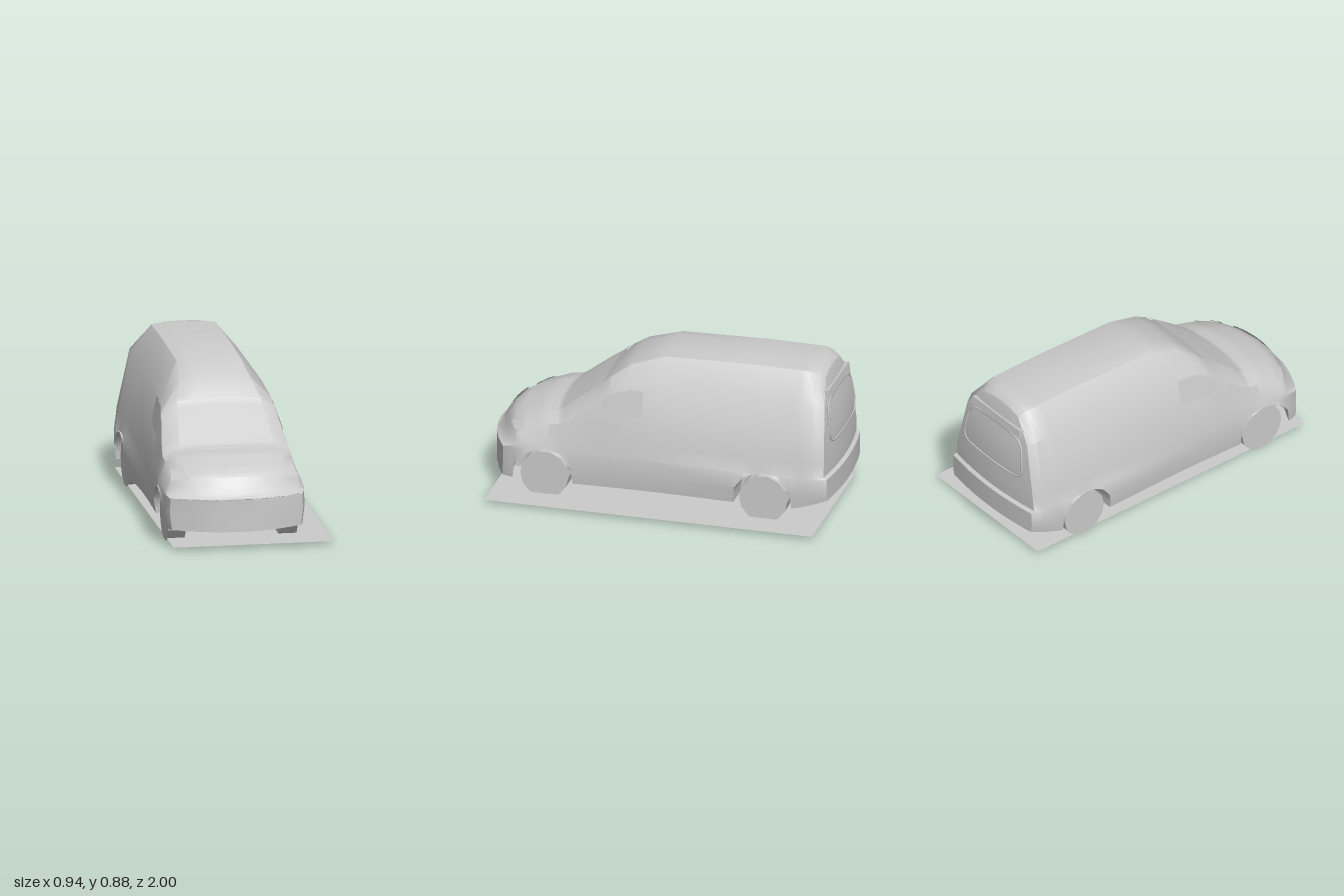
import * as THREE from 'three';
import { toCreasedNormals } from 'three/addons/utils/BufferGeometryUtils.js';
import { ParametricGeometry } from 'three/addons/geometries/ParametricGeometry.js';

const material = new THREE.MeshStandardMaterial({ color: 0xcccccc, side: THREE.DoubleSide });
const clamp = (v) => Math.min(1, Math.max(0, v));
const lerp = THREE.MathUtils.lerp;
const WHEELS = [0.65, -0.61], ARCH = 0.165, AXLE = 0.138;

// Body stations: z, sill width, belt width/height, shoulder width/height, roof edge width/height, top
const KEYS = [
  [1.00, 0.375, 0.37, 0.286, 0.33, 0.289, 0.25, 0.291, 0.293],
  [0.97, 0.39, 0.385, 0.297, 0.35, 0.305, 0.25, 0.314, 0.318],
  [0.92, 0.40, 0.388, 0.32, 0.36, 0.37, 0.27, 0.39, 0.40],
  [0.85, 0.405, 0.39, 0.33, 0.35, 0.40, 0.27, 0.43, 0.445],
  [0.72, 0.405, 0.39, 0.34, 0.355, 0.43, 0.30, 0.465, 0.485],
  [0.61, 0.40, 0.385, 0.35, 0.36, 0.45, 0.30, 0.48, 0.495],
  [0.50, 0.395, 0.38, 0.36, 0.35, 0.50, 0.27, 0.56, 0.572],
  [0.34, 0.39, 0.375, 0.38, 0.325, 0.61, 0.245, 0.67, 0.685],
  [0.30, 0.39, 0.375, 0.38, 0.32, 0.64, 0.23, 0.715, 0.725],
  [0.20, 0.387, 0.372, 0.38, 0.31, 0.68, 0.20, 0.785, 0.80],
  [0.00, 0.385, 0.37, 0.38, 0.30, 0.715, 0.18, 0.85, 0.867],
  [-0.50, 0.385, 0.37, 0.38, 0.30, 0.715, 0.18, 0.862, 0.877],
  [-0.82, 0.385, 0.37, 0.38, 0.30, 0.715, 0.18, 0.858, 0.872],
  [-0.92, 0.375, 0.36, 0.38, 0.29, 0.71, 0.17, 0.845, 0.862],
  [-0.98, 0.35, 0.335, 0.38, 0.265, 0.69, 0.15, 0.82, 0.84],
];

// Nose curvature in plan, and the leaning, bumpered tail
const bow = (s) => 0.13 * clamp((s - 0.4) / 0.5);
function place(x, y, s) {
  const tail = clamp((-s - 0.82) / 0.16), t = Math.max(0, (y - 0.45) / 0.4);
  const shift = 0.075 * t * t + 0.03 * (x / 0.35) ** 2 - (y < 0.29 ? 0.02 : 0);
  return [x, y, s - bow(s) * (x / 0.4) ** 2 + tail * shift];
}

// Half cross-section from floor centre, through the wheel well, up the side to the roof centre
function section(s) {
  let k = 0;
  while (k < KEYS.length - 2 && s < KEYS[k + 1][0]) k++;
  const a = KEYS[k], b = KEYS[k + 1], t = clamp((a[0] - s) / (a[0] - b[0]));
  const [, wSill, wBelt, yBelt, wSh, ySh, wRoof, yRoof, yTop] = a.map((v, i) => lerp(v, b[i], t));
  const floor = 0.107 + 0.05 * clamp((-s - 0.8) / 0.18);
  let edge = floor, flare = 0;
  for (const w of WHEELS) {
    const d = Math.abs(s - bow(s) - w);
    if (d < ARCH) edge = AXLE + Math.sqrt(ARCH * ARCH - d * d);
    if (w < 0) flare = 0.012 * clamp((0.22 - d) / 0.05);
  }
  const w = wSill + flare, up = (y) => Math.min(yBelt, Math.max(y, edge));
  return [[0, floor], [0.23, floor], [0.23, edge], [w - 0.012, edge], [w, up(0.2)],
    [w - 0.004, up(0.285)], [lerp(w, wBelt, 0.35), up(0.296)], [wBelt, yBelt], [wSh, ySh],
    [wRoof, yRoof], [wRoof * 0.55, lerp(yRoof, yTop, 0.8)], [0, yTop]];
}

// Look up the upper body surface: height at a given x, or half width at a given y
function lookup(s, value, from, to) {
  const p = section(s).slice(7);
  for (let i = 0; i < p.length - 1; i++) {
    const t = (value - p[i][from]) / (p[i + 1][from] - p[i][from]);
    if (t >= 0 && t <= 1) return lerp(p[i][to], p[i + 1][to], t);
  }
  return p[0][to];
}
const heightAt = (s, x) => lookup(s, Math.abs(x), 0, 1);
const widthAt = (s, y) => lookup(s, y, 1, 0);

function bodyGeometry() {
  const stations = KEYS.map((k) => k[0]);
  for (const w of WHEELS) {
    for (const f of [0.999, 0.96, 0.87, 0.7, 0.5, 0.25, 0, 1.01]) {
      for (const side of [-1, 1]) {
        const z = w + side * f * ARCH;
        stations.push(z < 0.4 ? z : z > 0.77 ? z + 0.13 : (z - 0.104) / 0.74);
      }
    }
  }
  stations.sort((a, b) => b - a);
  const caps = [0, 0.25, 0.5, 0.75];
  const rings = [...caps.map((m) => [1, m]), ...stations.map((s) => [s, 1]),
    ...caps.reverse().map((m) => [-0.98, m])];
  const pos = [], index = [];
  let n = 0;
  for (const [s, m] of rings) {
    const half = section(s);
    const ring = [...half, ...half.slice(1, -1).reverse().map(([x, y]) => [-x, y])];
    n = ring.length;
    for (const [x, y] of ring) pos.push(...place(x * m, y, s));
  }
  for (let r = 0; r < rings.length - 1; r++) {
    for (let i = 0; i < n; i++) {
      const a = r * n + i, b = r * n + (i + 1) % n, c = b + n, d = a + n;
      index.push(a, d, b, b, d, c);
    }
  }
  const g = new THREE.BufferGeometry();
  g.setAttribute('position', new THREE.Float32BufferAttribute(pos, 3));
  g.setIndex(index);
  return toCreasedNormals(g, 0.65);
}

export function createModel() {
  const root = new THREE.Group();
  const van = new THREE.Group();
  van.name = 'van';
  van.position.x = -0.07;
  root.add(van);
  const add = (name, geometry, parent = van) => {
    const mesh = new THREE.Mesh(geometry, material);
    mesh.name = name;
    parent.add(mesh);
    return mesh;
  };
  // Thin panel laid over the body by a rule of u and v
  const panel = (name, rule, nu = 12, nv = 8) =>
    add(name, new ParametricGeometry((u, v, out) => out.set(...rule(u, v)), nu, nv));

  add('body', bodyGeometry());

  // Windscreen
  panel('windscreen', (u, v) => {
    const s = 0.625 - 0.305 * v, x = (2 * u - 1) * (0.27 - 0.035 * v);
    const [px, py, pz] = place(x, heightAt(s, x) + 0.008, s);
    return [px, py, pz + 0.003];
  });

  // Grille and lower intake
  panel('grille', (u, v) => {
    const s = 0.952 - 0.034 * v, x = (2 * u - 1) * 0.195;
    const [px, py, pz] = place(x, heightAt(s, x) + 0.004, s);
    return [px, py, pz + 0.004];
  });
  panel('lowerIntake', (u, v) => {
    const [x, y, z] = place((2 * u - 1) * 0.19, 0.117 + 0.078 * v, 1);
    return [x, y, z + 0.002];
  });

  // Headlights and cab side windows
  for (const side of [-1, 1]) {
    const label = side > 0 ? 'left' : 'right';
    panel(label + 'Headlight', (u, v) => {
      const s = 0.93 - 0.10 * v - 0.02 * u, x = lerp(0.265, 0.35, u);
      const [px, py, pz] = place(x, heightAt(s, x) + 0.004, s);
      return [side * px, py, pz + 0.003];
    });
    panel(label + 'SideWindow', (u, v) => {
      const s = 0.42 - 0.32 * u;
      const y = lerp(0.49 + 0.05 * u, 0.55 + 0.13 * Math.min(1, u * 1.9), v);
      return [side * (widthAt(s, y) + 0.003), y, s - 0.004];
    });
  }

  // Rear window with rounded corners and a raised rim
  const rearPoint = (u, v) => {
    const corner = 0.04 * Math.abs(2 * v - 1) ** 5;
    const [x, y, z] = place((2 * u - 1) * (0.262 - 0.035 * v - corner), 0.475 + 0.225 * v, -0.98);
    return [x, y, z - 0.003];
  };
  panel('rearWindow', rearPoint);
  const rim = [];
  for (let i = 0; i <= 8; i++) rim.push(new THREE.Vector3(...rearPoint(0, i / 8)));
  for (let i = 0; i <= 8; i++) rim.push(new THREE.Vector3(...rearPoint(1, 1 - i / 8)));
  add('rearWindowRim', new THREE.TubeGeometry(
    new THREE.CatmullRomCurve3(rim, true, 'centripetal'), 80, 0.006, 5, true));

  // Lip above the rear window
  const lip = add('rearLip', new THREE.BoxGeometry(0.42, 0.045, 0.04));
  lip.position.set(0, 0.74, -0.929);
  lip.rotation.x = 0.2;

  // Wheels
  for (const z of WHEELS) {
    for (const side of [-1, 1]) {
      const g = toCreasedNormals(new THREE.CylinderGeometry(0.139, 0.139, 0.1, 14), 0.2);
      g.rotateZ(Math.PI / 2);
      const name = (z > 0 ? 'front' : 'rear') + (side > 0 ? 'Left' : 'Right') + 'Wheel';
      add(name, g).position.set(side * 0.315, 0.1355, z);
    }
  }

  // Flat ground sheet, offset to one side
  const sheet = new THREE.PlaneGeometry(0.905, 1.89).rotateX(-Math.PI / 2);
  add('groundSheet', sheet, root).position.set(0.0175, 0.02, 0.005);
  return root;
}
